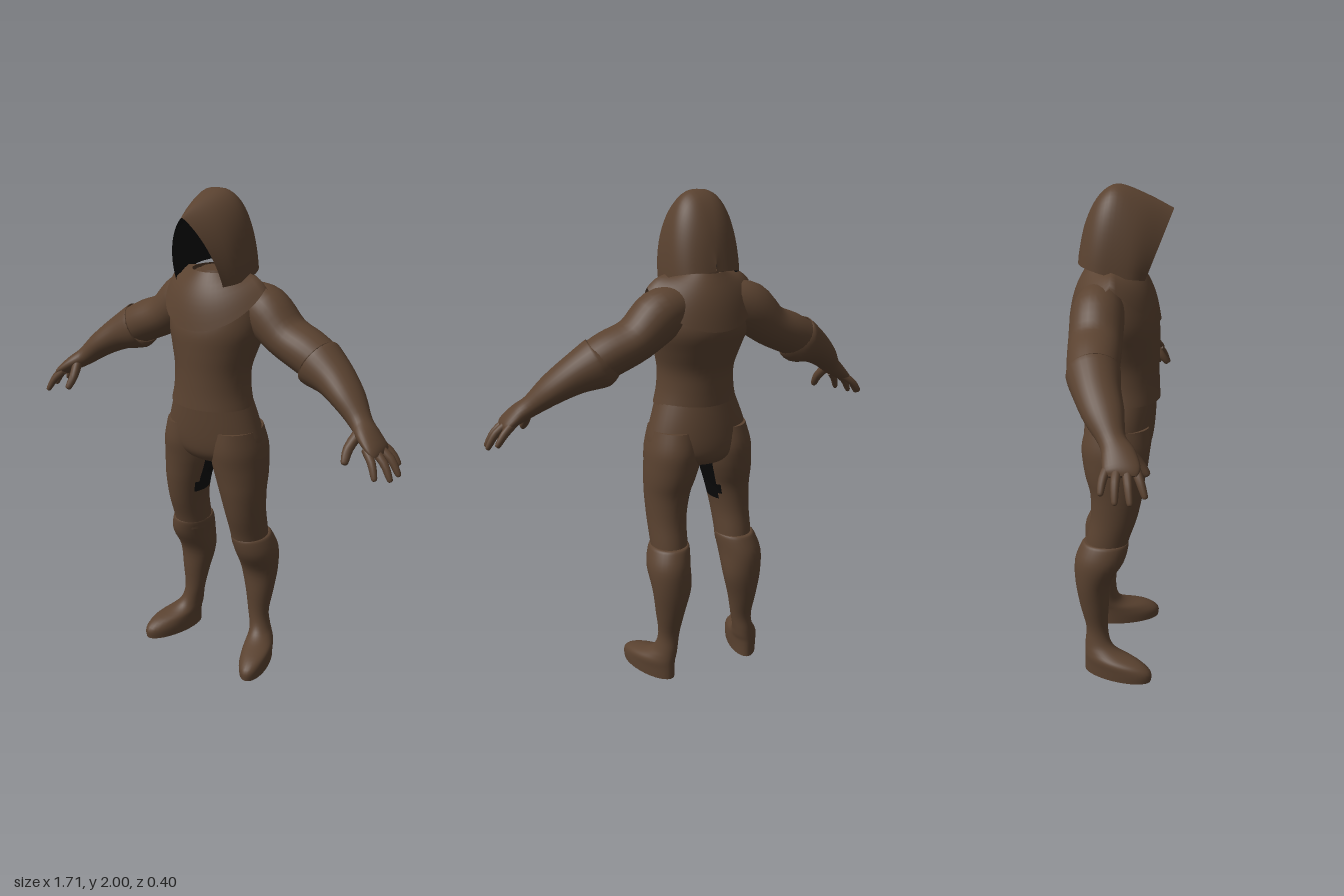
import * as THREE from 'three';
import { mergeVertices } from 'three/addons/utils/BufferGeometryUtils.js';

const V = (x, y, z) => new THREE.Vector3(x, y, z);

// Skin over rows of points; paint(centre) picks faces for the second material
function skin(rows, closed, caps = false, paint = null) {
  const n = rows[0].length, pos = [], main = [], dark = [];
  rows.flat().forEach(p => pos.push(p.x, p.y, p.z));
  for (let i = 0; i < rows.length - 1; i++) {
    for (let j = 0; j < (closed ? n : n - 1); j++) {
      const k = (j + 1) % n, a = i * n + j, b = i * n + k;
      const mid = rows[i][j].clone().add(rows[i + 1][k]).multiplyScalar(0.5);
      (paint && paint(mid) ? dark : main).push(a, b, b + n, a, b + n, a + n);
    }
  }
  if (caps) {
    [rows[0], rows[rows.length - 1]].forEach((ring, end) => {
      const base = pos.length / 3, c = V(0, 0, 0);
      ring.forEach(p => { pos.push(p.x, p.y, p.z); c.addScaledVector(p, 1 / n); });
      pos.push(c.x, c.y, c.z);
      for (let j = 0; j < n; j++) {
        const a = base + j, b = base + (j + 1) % n;
        main.push(base + n, ...(end ? [a, b] : [b, a]));
      }
    });
  }
  const g = new THREE.BufferGeometry();
  g.setAttribute('position', new THREE.Float32BufferAttribute(pos, 3));
  g.setIndex([...main, ...dark]);
  if (paint) {
    g.addGroup(0, main.length, 0);
    g.addGroup(main.length, dark.length, 1);
  }
  g.computeVertexNormals();
  return g;
}

// Smoothly add rows between the given number rows
function refine(rows, steps) {
  const out = [], at = i => rows[Math.max(0, Math.min(rows.length - 1, i))];
  for (let i = 0; i < rows.length - 1; i++) {
    for (let s = 0; s < steps; s++) {
      const t = s / steps;
      out.push(rows[i].map((p1, k) => {
        const p0 = at(i - 1)[k], p2 = at(i + 1)[k], p3 = at(i + 2)[k];
        return 0.5 * (2 * p1 + (p2 - p0) * t + (2 * p0 - 5 * p1 + 4 * p2 - p3) * t * t
          + (3 * p1 - p0 - 3 * p2 + p3) * t * t * t);
      }));
    }
  }
  out.push(at(rows.length));
  return out;
}

// Elliptical loft. Row: x, y, z, half width, half depth, shear.
// level keeps the rings horizontal, otherwise they follow the path.
function loft(rows, { level = true, n = 28, steps = 4, paint = null } = {}) {
  const r = refine(rows, steps), c = r.map(q => V(q[0], q[1], q[2]));
  const rings = r.map((q, i) => {
    const t = c[Math.min(i + 1, c.length - 1)].clone().sub(c[Math.max(i - 1, 0)]);
    if (level) t.set(0, Math.sign(t.y), 0);
    t.normalize();
    const v = t.clone().cross(level ? V(1, 0, 0) : V(0, 0, 1)).normalize();
    const u = v.clone().cross(t);
    return Array.from({ length: n }, (_, j) => {
      const a = j / n * Math.PI * 2;
      const p = c[i].clone().addScaledVector(u, q[3] * Math.cos(a)).addScaledVector(v, q[4] * Math.sin(a));
      p.x += (q[5] || 0) * (p.z - q[2]);
      return p;
    });
  });
  return skin(rings, true, true, paint);
}

// Copy with reversed faces, optionally mirrored in x
function reversed(geometry, mirror) {
  const g = geometry.clone();
  if (mirror) g.scale(-1, 1, 1);
  const ix = g.index.array;
  for (let i = 0; i < ix.length; i += 3) [ix[i + 1], ix[i + 2]] = [ix[i + 2], ix[i + 1]];
  g.computeVertexNormals();
  return g;
}

export function createModel() {
  const brown = new THREE.MeshStandardMaterial({ color: 0x5a4230 });
  brown.name = 'brownCloth';
  const black = new THREE.MeshStandardMaterial({ color: 0x0a0a0a });
  black.name = 'blackLining';
  const model = new THREE.Group();
  model.name = 'hoodedFigure';
  const add = (name, geometry, material = brown) => {
    const m = new THREE.Mesh(geometry, material);
    m.name = name;
    model.add(m);
  };
  const addPair = (name, geometry, material = brown) => {
    add('left' + name, geometry, material);
    add('right' + name, reversed(geometry, true), material);
  };

  // Tunic
  add('tunic', loft([
    [0, 1.175, 0.016, 0.174, 0.144], [0, 1.24, 0.014, 0.16, 0.142], [0, 1.32, 0.01, 0.158, 0.144],
    [0, 1.4, -0.005, 0.178, 0.16], [0, 1.48, -0.02, 0.2, 0.172], [0, 1.56, -0.025, 0.195, 0.152],
    [0, 1.63, -0.025, 0.17, 0.12], [0, 1.69, -0.02, 0.09, 0.075]], { n: 40 }));

  // Shoulder mantle: hem dips at front and back and rises over the shoulders
  const mantle = [];
  for (let i = 0; i <= 8; i++) {
    const t = i / 8, ring = [];
    for (let j = 0; j < 48; j++) {
      const a = j / 48 * Math.PI * 2, s = Math.sin(a), c = Math.cos(a);
      const bulge = 0.012 * Math.sin(Math.PI * t);
      const hem = V(0.22 * s, 1.65 - 0.16 * Math.abs(c), -0.022 + 0.18 * c);
      const neck = V(0.1 * s, 1.7, -0.025 + 0.105 * c);
      ring.push(hem.lerp(neck, t).add(V(bulge * s, bulge, bulge * c)));
    }
    mantle.push(ring);
  }
  const mantleGeometry = skin(mantle, true);
  add('mantle', mantleGeometry);
  add('mantleInside', reversed(mantleGeometry, false));
  add('neck', new THREE.CylinderGeometry(0.07, 0.09, 0.08, 24).translate(0, 1.66, -0.03));

  // Hood arches, front to back: apex y, z; foot x, y, z; pinch
  const hoodRows = refine([
    [1.915, 0.2, 0.11, 1.66, 0.1, 1.6], [1.965, 0.1, 0.14, 1.668, 0.05, 1.1],
    [2.0, 0, 0.146, 1.68, -0.03, 0.78], [1.985, -0.055, 0.138, 1.695, -0.09, 0.75],
    [1.935, -0.1, 0.105, 1.705, -0.135, 0.75], [1.85, -0.138, 0.055, 1.71, -0.158, 0.8],
    [1.74, -0.163, 0.001, 1.71, -0.165, 1]], 4);
  const hood = skin(hoodRows.map(([ay, az, fx, fy, fz, p]) => Array.from({ length: 33 }, (_, j) => {
    const a = (j / 16 - 1) * Math.PI / 2, drop = 1 - Math.cos(a), s = Math.sin(a);
    return V(fx * Math.sign(s) * Math.abs(s) ** p, ay + (fy - ay) * drop, az + (fz - az) * drop);
  })), false);
  add('hood', hood);
  add('hoodLining', reversed(hood, false), black);

  // Hips and trouser legs, dark between the thighs
  const hipPaint = p => p.y < 0.945 && Math.abs(p.x) < 0.11 && Math.abs(p.z + 0.01) < 0.07;
  add('hips', loft([
    [0, 1.19, 0.01, 0.168, 0.136], [0, 1.1, 0, 0.2, 0.142], [0, 1.02, -0.008, 0.22, 0.142],
    [0, 0.97, -0.012, 0.2, 0.132], [0, 0.935, -0.012, 0.12, 0.1], [0, 0.925, -0.012, 0.05, 0.05]],
  { n: 40, paint: hipPaint }), [brown, black]);
  const thighPaint = p => p.x < 0.075 && p.y > 0.76 && p.y < 0.93 && Math.abs(p.z + 0.015) < 0.06;
  addPair('TrouserLeg', loft([
    [0.11, 1.08, -0.003, 0.095, 0.125], [0.116, 1.0, -0.01, 0.11, 0.137], [0.121, 0.93, -0.012, 0.111, 0.13],
    [0.13, 0.87, -0.01, 0.104, 0.12], [0.14, 0.8, -0.005, 0.092, 0.106], [0.148, 0.7, -0.015, 0.08, 0.095],
    [0.15, 0.61, -0.038, 0.076, 0.088], [0.15, 0.55, -0.05, 0.074, 0.085]],
  { n: 32, paint: thighPaint }), [brown, black]);

  // Boots with cuff and turned-out foot
  addPair('Boot', loft([
    [0.152, 0.592, -0.05, 0.074, 0.088], [0.155, 0.58, -0.052, 0.083, 0.098], [0.168, 0.51, -0.073, 0.089, 0.102],
    [0.166, 0.41, -0.1, 0.082, 0.074], [0.172, 0.3, -0.095, 0.061, 0.06], [0.175, 0.2, -0.085, 0.045, 0.046],
    [0.187, 0.135, -0.08, 0.045, 0.054, 0.1], [0.202, 0.1, -0.06, 0.053, 0.075, 0.2],
    [0.222, 0.073, -0.015, 0.063, 0.12, 0.25], [0.228, 0.04, 0.008, 0.064, 0.143, 0.25],
    [0.228, 0, 0.008, 0.062, 0.143, 0.25]].map(r => [...r, 0].slice(0, 6)), { n: 32 }));

  // Sleeves and gauntlets
  addPair('Sleeve', loft([
    [0.1, 1.585, -0.065, 0.08, 0.075], [0.19, 1.55, -0.068, 0.1, 0.1], [0.29, 1.47, -0.066, 0.1, 0.085],
    [0.39, 1.425, -0.06, 0.097, 0.086], [0.46, 1.39, -0.055, 0.09, 0.082]], { level: false }));
  addPair('Gauntlet', loft([
    [0.432, 1.398, -0.057, 0.088, 0.085], [0.444, 1.391, -0.055, 0.098, 0.097], [0.525, 1.352, -0.033, 0.085, 0.074],
    [0.605, 1.298, 0, 0.072, 0.056], [0.675, 1.237, 0.035, 0.048, 0.04], [0.72, 1.205, 0.06, 0.058, 0.033],
    [0.765, 1.17, 0.075, 0.063, 0.023], [0.782, 1.152, 0.078, 0.05, 0.012]], { level: false }));

  // Fingers and thumb: base, knuckle, tip
  const digits = {
    LittleFinger: [[0.745, 1.18, 0.032], [0.79, 1.145, 0.016], [0.825, 1.1, 0.01]],
    RingFinger: [[0.755, 1.175, 0.06], [0.81, 1.14, 0.058], [0.85, 1.08, 0.06]],
    MiddleFinger: [[0.755, 1.173, 0.09], [0.805, 1.135, 0.1], [0.842, 1.075, 0.11]],
    IndexFinger: [[0.74, 1.175, 0.115], [0.775, 1.14, 0.135], [0.803, 1.085, 0.157]],
    Thumb: [[0.69, 1.215, 0.075], [0.675, 1.165, 0.12], [0.68, 1.115, 0.157]],
  };
  for (const [name, [base, mid, tip]] of Object.entries(digits)) {
    const near = tip.map((v, k) => v + (mid[k] - v) * 0.15);
    const r = name === 'Thumb' ? 0.021 : 0.017;
    addPair(name, mergeVertices(loft([
      [...base, r, r], [...mid, r * 0.9, r * 0.9], [...near, r * 0.65, r * 0.65], [...tip, r * 0.25, r * 0.25]],
    { level: false, n: 12, steps: 3 })));
  }
  return model;
}
